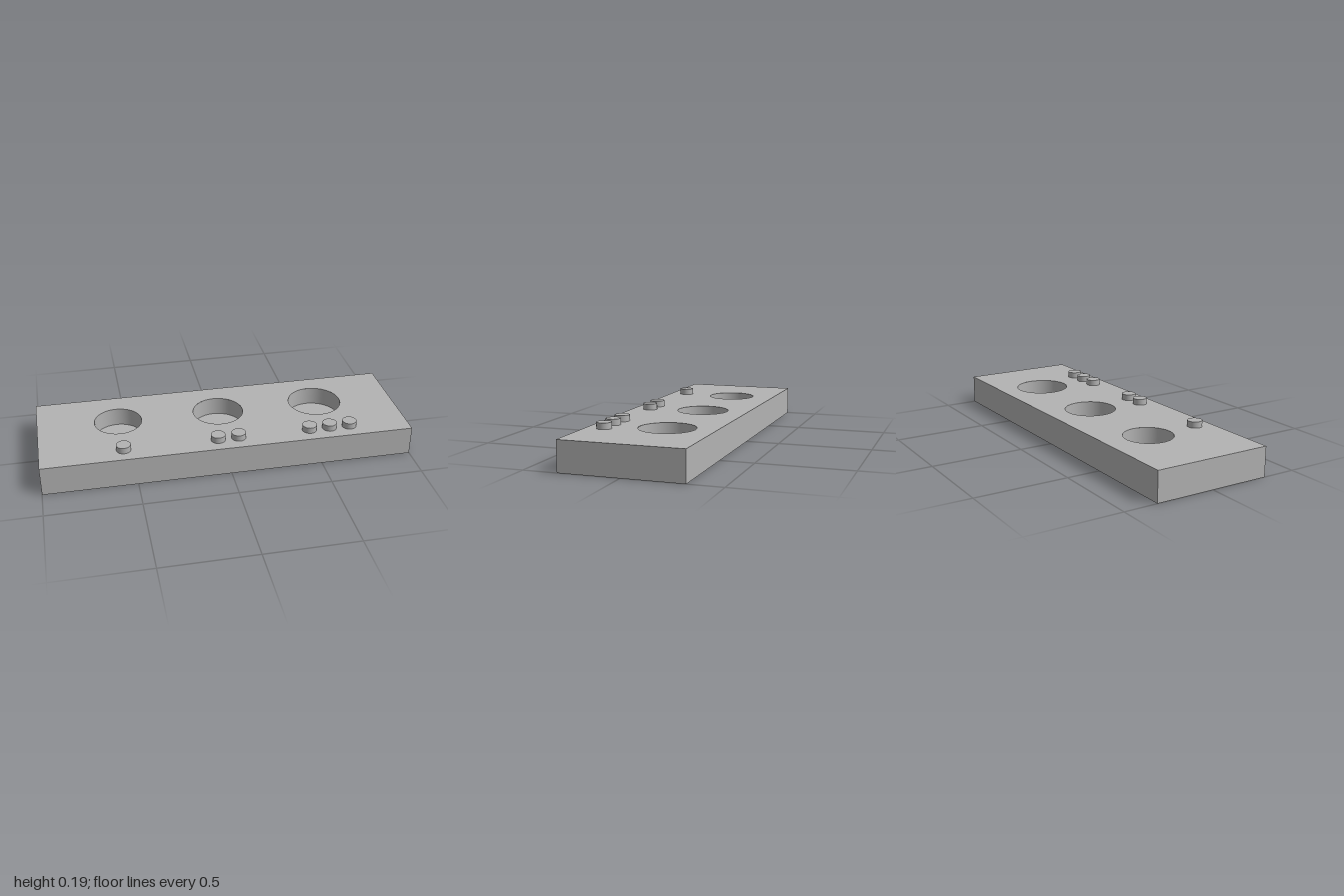
import * as THREE from 'three';

const W = 2, D = 0.64, H = 0.16, SEG = 64;
const WELL_Z = -0.067, WELL_FLOOR = 0.06;
const STUD_Z = 0.225, STUD_R = 0.039, STUD_H = 0.033;

// each well with a row of studs counting it
const STATIONS = [
  { x: -0.56, r: 0.13, studs: 1 },
  { x: 0, r: 0.139, studs: 2 },
  { x: 0.56, r: 0.147, studs: 3 },
];

export function createModel() {
  const group = new THREE.Group();
  const grey = new THREE.MeshStandardMaterial({ color: 0xb3b3b3 });
  grey.name = 'plain grey';

  const add = (name, geometry, x = 0, y = 0, z = 0) => {
    const mesh = new THREE.Mesh(geometry, grey);
    mesh.name = name;
    mesh.position.set(x, y, z);
    group.add(mesh);
  };

  // block sides and underside: a box without its top face
  const body = new THREE.BoxGeometry(W, H, D);
  const index = Array.from(body.index.array);
  index.splice(12, 6);
  body.setIndex(index);
  body.clearGroups();
  add('blockBody', body, 0, H / 2, 0);

  // top face pierced by the round wells
  const top = new THREE.Shape([
    new THREE.Vector2(-W / 2, -D / 2), new THREE.Vector2(W / 2, -D / 2),
    new THREE.Vector2(W / 2, D / 2), new THREE.Vector2(-W / 2, D / 2),
  ]);
  for (const { x, r } of STATIONS) {
    top.holes.push(new THREE.Path().absarc(x, -WELL_Z, r, 0, Math.PI * 2, true));
  }
  add('blockTop', new THREE.ShapeGeometry(top, SEG).rotateX(-Math.PI / 2), 0, H, 0);

  STATIONS.forEach(({ x, r, studs }, i) => {
    // well wall, profile drawn downward so it faces inward
    const wall = new THREE.LatheGeometry(
      [new THREE.Vector2(r, H), new THREE.Vector2(r, WELL_FLOOR)], SEG);
    add(`wellWall${i + 1}`, wall, x, 0, WELL_Z);
    add(`wellFloor${i + 1}`, new THREE.CircleGeometry(r, SEG).rotateX(-Math.PI / 2), x, WELL_FLOOR, WELL_Z);

    // counting studs in front of the well
    for (let s = 0; s < studs; s++) {
      const sx = x + (s - (studs - 1) / 2) * 0.112;
      add(`stud${i + 1}_${s + 1}`, new THREE.CylinderGeometry(STUD_R, STUD_R, STUD_H, 32), sx, H + STUD_H / 2, STUD_Z);
    }
  });

  return group;
}
